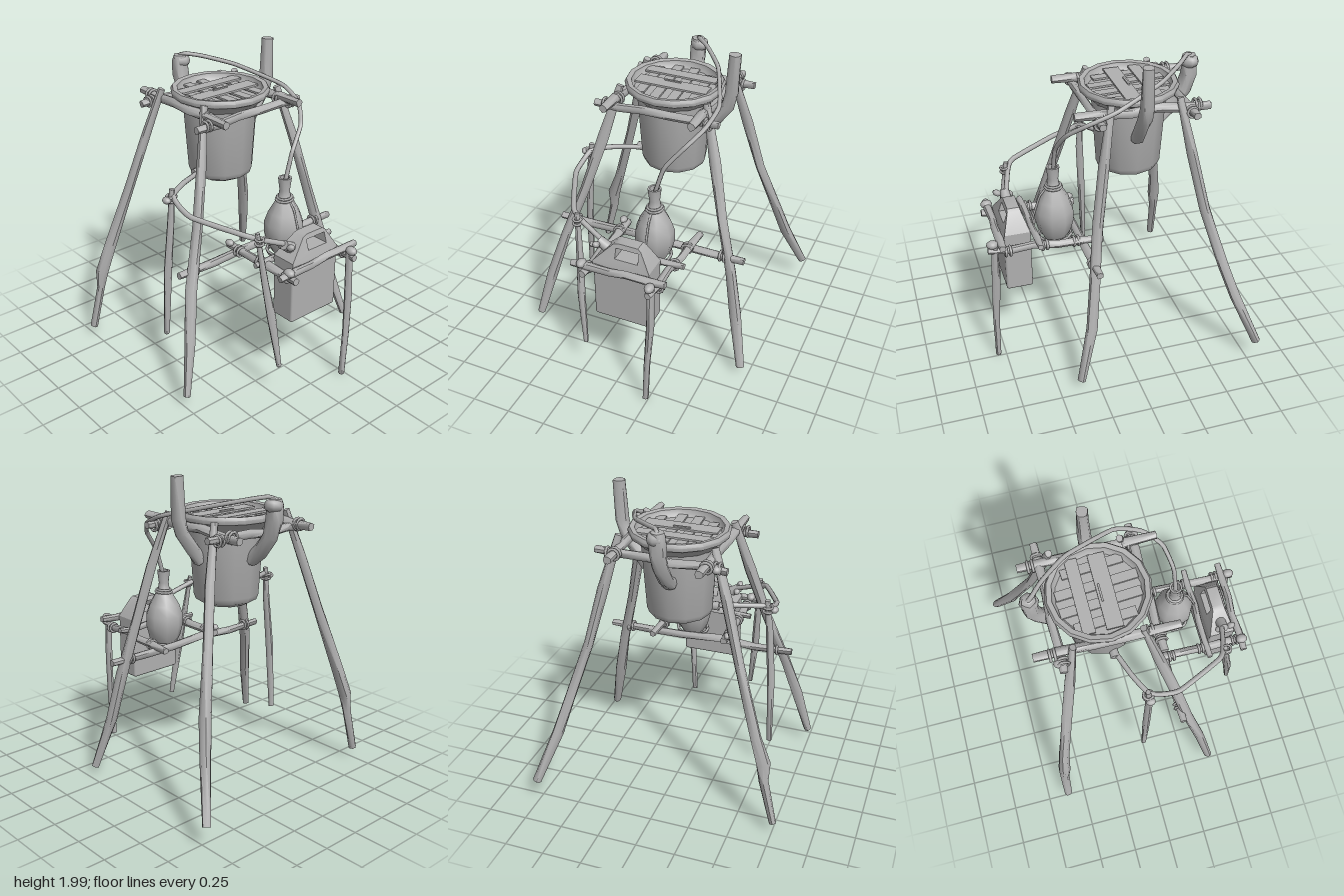
import * as THREE from 'three';
import { toCreasedNormals } from 'three/addons/utils/BufferGeometryUtils.js';
import { RoundedBoxGeometry } from 'three/addons/geometries/RoundedBoxGeometry.js';

const V = (x, y, z) => new THREE.Vector3(x, y, z);

export function createModel() {
  const model = new THREE.Group();
  const grey = new THREE.MeshStandardMaterial({ color: 0xb0b0b0 });
  grey.name = 'plain grey';
  grey.side = THREE.DoubleSide;

  function add(name, geometry, x = 0, y = 0, z = 0) {
    const mesh = new THREE.Mesh(geometry, grey);
    mesh.name = name;
    mesh.position.set(x, y, z);
    model.add(mesh);
    return mesh;
  }

  // Rough stick swept through points [x, y, z, radius], closed at both ends
  function stick(name, pts, sides = 7) {
    const p = pts.map(a => V(a[0], a[1], a[2]));
    const pos = [], idx = [];
    const n = p.length;
    const axis = p[n - 1].clone().sub(p[0]).normalize();
    const ref = Math.abs(axis.y) > 0.8 ? V(1, 0, 0) : V(0, 1, 0);
    p.forEach((c, i) => {
      const t = p[Math.min(i + 1, n - 1)].clone().sub(p[Math.max(i - 1, 0)]).normalize();
      const u = ref.clone().cross(t).normalize();
      const w = t.clone().cross(u);
      for (let k = 0; k < sides; k++) {
        const a = k / sides * Math.PI * 2;
        const r = pts[i][3] * (1 + 0.1 * Math.sin(k * 2.3 + i * 1.7));
        const q = c.clone().addScaledVector(u, Math.cos(a) * r).addScaledVector(w, Math.sin(a) * r);
        pos.push(q.x, q.y, q.z);
      }
    });
    for (let i = 0; i < n - 1; i++) for (let k = 0; k < sides; k++) {
      const a = i * sides + k, b = i * sides + (k + 1) % sides;
      idx.push(a, b, a + sides, b, b + sides, a + sides);
    }
    for (let k = 1; k < sides - 1; k++) {
      const e = (n - 1) * sides;
      idx.push(0, k + 1, k, e, e + k, e + k + 1);
    }
    const g = new THREE.BufferGeometry();
    g.setAttribute('position', new THREE.Float32BufferAttribute(pos, 3));
    g.setIndex(idx);
    return add(name, toCreasedNormals(g, 0.95));
  }

  // Straight pole with small bends along its length
  function pole(name, a, b, r, wobble = 0.008) {
    const pts = [];
    for (let i = 0; i <= 5; i++) {
      const q = V(...a).lerp(V(...b), i / 5);
      const s = i % 5 ? wobble * Math.sin(i * 2.4 + a[0] * 5) : 0;
      pts.push([q.x + s * 0.6, q.y + s, q.z + s * 0.6, r * (i % 5 ? 1 : 0.85)]);
    }
    stick(name, pts);
  }

  function hose(name, pts, r) {
    const curve = new THREE.CatmullRomCurve3(pts.map(a => V(...a)), false, 'catmullrom', 0.25);
    add(name, new THREE.TubeGeometry(curve, 40, r, 7));
  }

  const lathe = (name, pts, sides, x, z) => add(name, toCreasedNormals(
    new THREE.LatheGeometry(pts.map(a => new THREE.Vector2(...a)), sides), 0.8), x, 0, z);

  // Four splayed legs
  stick('frontRightLeg', [[-0.37, 1.74, 0.28, 0.022], [-0.425, 1.45, 0.37, 0.032], [-0.49, 1.1, 0.47, 0.032],
    [-0.57, 0.65, 0.61, 0.036], [-0.59, 0.48, 0.67, 0.042], [-0.6, 0.36, 0.68, 0.029], [-0.61, 0.07, 0.75, 0.025]]);
  stick('frontLeftLeg', [[0.04, 1.74, 0.27, 0.022], [0.12, 1.4, 0.36, 0.034], [0.2, 1.05, 0.46, 0.033],
    [0.28, 0.7, 0.58, 0.034], [0.36, 0.4, 0.66, 0.034], [0.425, 0.08, 0.74, 0.024]]);
  stick('backLeftLeg', [[0.05, 1.74, -0.3, 0.022], [0.12, 1.4, -0.39, 0.034], [0.18, 1.05, -0.47, 0.033],
    [0.23, 0.7, -0.56, 0.035], [0.27, 0.4, -0.62, 0.036], [0.36, 0.06, -0.7, 0.026]]);
  stick('backRightLeg', [[-0.37, 1.74, -0.31, 0.022], [-0.43, 1.4, -0.4, 0.033], [-0.5, 1.05, -0.48, 0.032],
    [-0.6, 0.68, -0.59, 0.035], [-0.67, 0.46, -0.65, 0.034], [-0.8, 0.14, -0.76, 0.027]]);

  // Upper frame
  pole('upperFrontRail', [-0.6, 1.67, 0.26], [0.26, 1.68, 0.28], 0.03);
  pole('upperBackRail', [-0.57, 1.66, -0.3], [0.27, 1.69, -0.29], 0.03);
  pole('upperRightRail', [-0.44, 1.66, -0.43], [-0.45, 1.64, 0.38], 0.027);
  pole('upperLeftRail', [0.13, 1.66, -0.41], [0.13, 1.64, 0.4], 0.027);

  // Lower side frame
  pole('lowerLongRail', [0.22, 0.8, -0.64], [0.23, 0.8, 0.63], 0.026);
  pole('lowerFrontRail', [0.16, 0.83, 0.18], [0.78, 0.84, 0.19], 0.027);
  pole('lowerBackRail', [0.1, 0.83, -0.3], [0.82, 0.85, -0.26], 0.025);
  pole('innerCrossRail', [0.51, 0.88, -0.36], [0.51, 0.86, 0.27], 0.021);
  pole('outerCrossRail', [0.74, 0.9, -0.34], [0.735, 0.87, 0.28], 0.025);

  // Thin posts under the side frame and hose
  stick('outerPost', [[0.8, 0, -0.23, 0.019], [0.8, 0.3, -0.245, 0.021], [0.785, 0.6, -0.26, 0.026], [0.775, 0.9, -0.26, 0.022]]);
  stick('frontPost', [[0.7, 0.22, 0.235, 0.015], [0.66, 0.57, 0.27, 0.027], [0.62, 0.8, 0.29, 0.024], [0.575, 1.12, 0.315, 0.015]]);
  stick('hosePost', [[-0.01, 0.24, 0.565, 0.017], [0.005, 0.7, 0.55, 0.025], [0.02, 1.05, 0.525, 0.024], [0.015, 1.26, 0.505, 0.017]]);

  // Bucket with a wide rim
  const bx = -0.15, bz = -0.01;
  lathe('bucket', [[0, 1.16], [0.14, 1.165], [0.195, 1.195], [0.208, 1.23], [0.238, 1.69],
    [0.225, 1.69], [0.2, 1.66], [0, 1.66]], 12, bx, bz);
  lathe('bucketRim', [[0.236, 1.65], [0.285, 1.7], [0.305, 1.71], [0.312, 1.735], [0.3, 1.755],
    [0.27, 1.75], [0.262, 1.715], [0.236, 1.69]], 16, bx, bz);

  // Lid of crossing boards
  add('lidBase', new THREE.CylinderGeometry(0.265, 0.265, 0.01, 16), bx, 1.7, bz);
  for (const [x, w] of [[-0.11, 0.075], [0.04, 0.1]])
    add('lidBoard', new THREE.BoxGeometry(w, 0.012, 0.47), bx + x, 1.731, bz);
  for (const z of [-0.17, -0.05, 0.06, 0.17])
    add('lidCrossBoard', new THREE.BoxGeometry(2 * Math.sqrt(0.063 - z * z), 0.012, 0.06), bx, 1.716, bz + z).rotation.y = 0.06;
  add('lidHandle', new THREE.BoxGeometry(0.012, 0.01, 0.11), -0.14, 1.74, 0);

  // Elbow pipes on the bucket
  stick('sidePipe', [[-0.36, 1.47, 0, 0.045], [-0.43, 1.53, 0, 0.045], [-0.515, 1.64, 0, 0.048],
    [-0.545, 1.74, 0, 0.05], [-0.545, 1.83, 0, 0.048], [-0.545, 1.865, 0, 0.04]], 10);
  add('sidePipeCap', new THREE.SphereGeometry(0.058, 8, 6), -0.545, 1.825, -0.01).scale.y = 0.8;
  stick('backPipe', [[-0.14, 1.46, -0.22, 0.042], [-0.14, 1.54, -0.28, 0.042], [-0.14, 1.65, -0.36, 0.042],
    [-0.14, 1.74, -0.385, 0.041], [-0.14, 1.99, -0.395, 0.036]], 10);

  // Hoses
  hose('upperHose', [[-0.57, 1.84, 0], [-0.53, 1.875, -0.01], [-0.45, 1.86, -0.1], [-0.28, 1.815, -0.24], [0.03, 1.73, -0.37],
    [0.2, 1.66, -0.35], [0.31, 1.57, -0.27], [0.355, 1.43, -0.16], [0.36, 1.24, -0.1]], 0.014);
  hose('lowerHose', [[-0.12, 1.24, 0.18], [-0.05, 1.235, 0.37], [0.02, 1.22, 0.5], [0.1, 1.185, 0.52],
    [0.22, 1.15, 0.515], [0.52, 1.105, 0.37], [0.57, 1.07, 0.29], [0.62, 1.0, 0.12]], 0.017);
  add('bucketOutlet', new THREE.CylinderGeometry(0.028, 0.028, 0.07, 8), -0.12, 1.24, 0.2).rotation.x = Math.PI / 2;

  // Flask with collar and support ring
  lathe('flask', [[0, 0.77], [0.07, 0.77], [0.105, 0.83], [0.125, 0.91], [0.125, 0.98], [0.1, 1.05],
    [0.06, 1.12], [0.038, 1.16], [0.033, 1.2], [0.043, 1.28], [0.03, 1.28], [0.025, 1.2], [0, 1.19]], 9, 0.36, -0.1);
  for (const [y, r] of [[1.135, 0.052], [1.15, 0.046], [0.775, 0.1], [0.79, 0.105]])
    add('flaskBinding', new THREE.TorusGeometry(r, 0.009, 5, 14), 0.36, y, -0.1).rotation.x = Math.PI / 2 + 0.08;
  hose('flaskTie', [[0.4, 1.14, -0.1], [0.45, 1.08, -0.1], [0.5, 0.93, -0.1], [0.51, 0.88, -0.1]], 0.007);

  // Jug: rounded body, tapered shoulder with a handle opening
  add('jugBody', new RoundedBoxGeometry(0.17, 0.4, 0.37, 2, 0.015), 0.625, 0.7, -0.035);
  const outline = new THREE.Shape([[-0.15, 0.88], [-0.15, 0.91], [-0.03, 1.035], [0, 1.045], [0.13, 1.045],
    [0.15, 1.03], [0.22, 0.91], [0.22, 0.88]].map(a => new THREE.Vector2(...a)));
  outline.holes.push(new THREE.Path([[-0.01, 0.95], [0.14, 0.95], [0.14, 1.015], [-0.01, 1.015]]
    .map(a => new THREE.Vector2(...a))));
  const shoulder = new THREE.ExtrudeGeometry(outline, { depth: 0.17, bevelEnabled: false });
  shoulder.translate(0, 0, -0.085);
  const sp = shoulder.attributes.position;
  for (let i = 0; i < sp.count; i++)
    sp.setZ(i, sp.getZ(i) * (1 - 0.55 * Math.max(0, Math.min(1, (sp.getY(i) - 0.9) / 0.14))));
  shoulder.rotateY(Math.PI / 2);
  add('jugShoulder', toCreasedNormals(shoulder, 0.5), 0.625, 0, 0).scale.set(1, 1, 1);
  add('jugSpout', new THREE.CylinderGeometry(0.03, 0.036, 0.08, 10), 0.625, 0.985, 0.115).rotation.x = 1;
  for (const [x, y] of [[0.675, 1.005], [0.6, 0.99]]) {
    const wing = add('spoutWing', new THREE.SphereGeometry(0.032, 7, 5), x, y, 0.14);
    wing.scale.set(1, 0.65, 0.7);
    wing.rotation.z = 0.5;
  }

  // Lashings: paired rings around joints, axis along x, y or z
  const lash = (x, y, z, r, axis) => {
    for (const d of [-0.014, 0.014]) {
      const ring = add('lashing', new THREE.TorusGeometry(r, 0.009, 5, 10),
        x + (axis === 'x' ? d : 0), y + (axis === 'y' ? d : 0), z + (axis === 'z' ? d : 0));
      if (axis === 'x') ring.rotation.y = Math.PI / 2;
      if (axis === 'y') ring.rotation.x = Math.PI / 2;
    }
  };
  for (const z of [-0.29, 0.27]) for (const x of [-0.44, 0.13]) {
    lash(x - 0.05, 1.67, z, 0.034, 'x');
    lash(x, 1.65, z + Math.sign(z) * 0.05, 0.032, 'z');
  }
  for (const z of [-0.28, 0.19]) {
    lash(0.27, 0.83, z, 0.03, 'x');
    lash(0.47, 0.84, z, 0.03, 'x');
    lash(0.7, 0.84, z, 0.03, 'x');
  }
  lash(0.23, 0.8, 0.52, 0.032, 'z');
  lash(0.22, 0.8, -0.5, 0.032, 'z');
  lash(0.015, 1.2, 0.51, 0.03, 'y');
  lash(0.59, 1.07, 0.31, 0.024, 'y');

  // Knots at the joints
  for (const [x, y, z, r] of [[0.13, 1.64, 0.32, 0.03], [-0.46, 1.65, 0.32, 0.034], [0.74, 0.89, 0.21, 0.035],
    [0.79, 0.89, -0.26, 0.035], [0.02, 1.2, 0.55, 0.028], [0.19, 0.86, 0.2, 0.028], [0.14, 1.66, -0.34, 0.03]])
    add('knot', new THREE.IcosahedronGeometry(r, 1), x, y, z).scale.set(1.1, 0.8, 0.9);

  return model;
}
